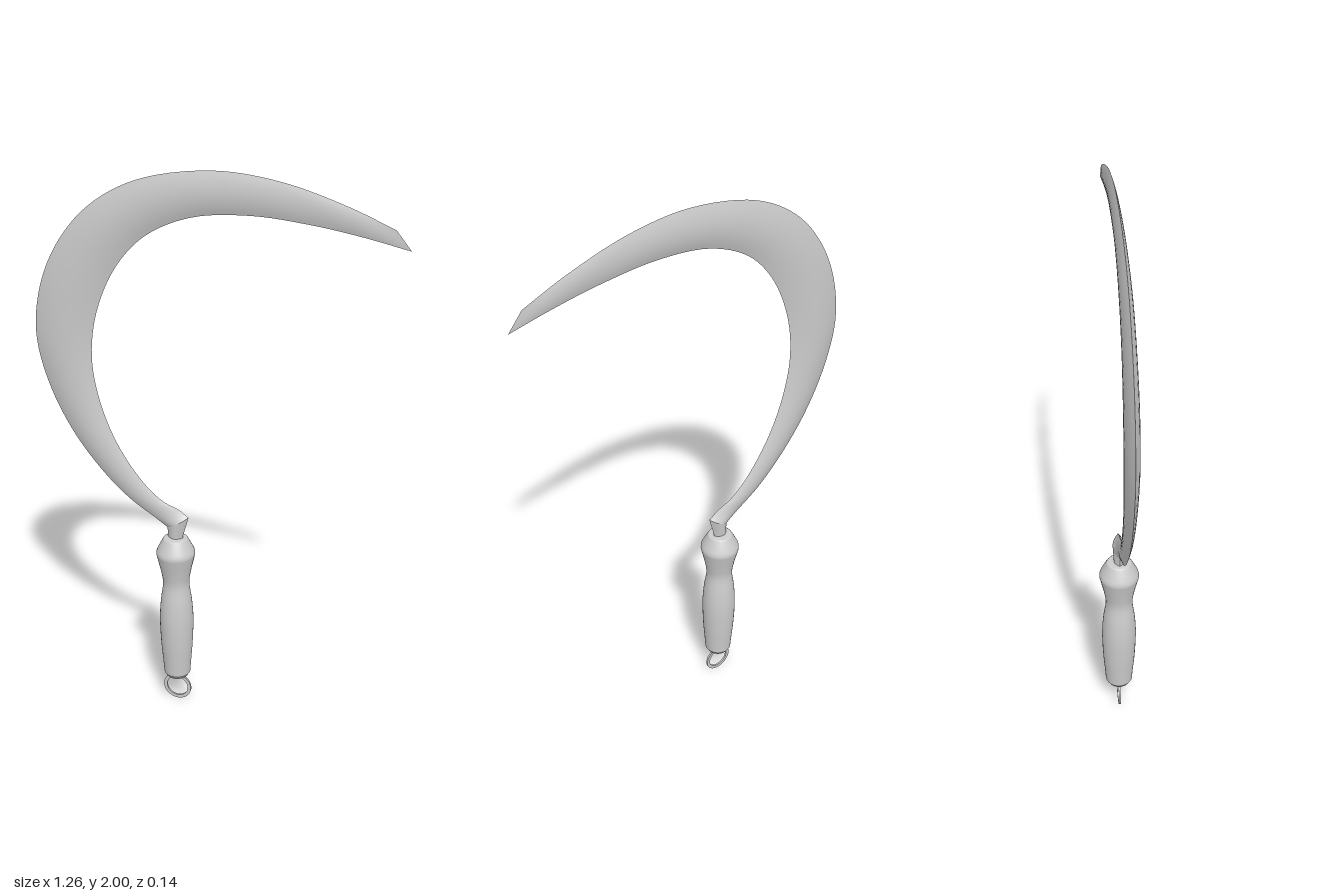
import * as THREE from 'three';

const material = new THREE.MeshStandardMaterial({ color: 0xcccccc });
const AXIS = -0.135; // x of the handle axis

// Lofts a lens-shaped body between two edge lines.
// Each row: outer x, outer y, inner x, inner y, half thickness.
function lensLoft(rows, steps, across = 10, straight = false) {
  const line = (pts) => {
    if (!straight) return new THREE.CatmullRomCurve3(pts, false, 'centripetal');
    const path = new THREE.CurvePath();
    for (let i = 1; i < pts.length; i++) path.add(new THREE.LineCurve3(pts[i - 1], pts[i]));
    return { getPoint: (t) => {
      const k = Math.min(Math.floor(t * path.curves.length), path.curves.length - 1);
      return path.curves[k].getPoint(t * path.curves.length - k);
    } };
  };
  const outer = line(rows.map((r) => new THREE.Vector3(r[0], r[1], r[4])));
  const inner = line(rows.map((r) => new THREE.Vector3(r[2], r[3], r[4])));
  const positions = [], index = [];
  // the two faces share no vertices, so the cutting edge and spine stay sharp
  for (const side of [1, -1]) {
    const base = positions.length / 3;
    for (let i = 0; i <= steps; i++) {
      const a = outer.getPoint(i / steps), b = inner.getPoint(i / steps);
      for (let j = 0; j <= across; j++) {
        const u = j / across, p = a.clone().lerp(b, u);
        positions.push(p.x, p.y, side * Math.max(a.z, 0) * (1 - (2 * u - 1) ** 2));
      }
    }
    for (let i = 0; i < steps; i++) {
      for (let j = 0; j < across; j++) {
        const a = base + i * (across + 1) + j, b = a + 1, c = a + across + 1, d = c + 1;
        if (side > 0) index.push(a, b, c, b, d, c);
        else index.push(a, c, b, b, c, d);
      }
    }
  }
  const geometry = new THREE.BufferGeometry();
  geometry.setAttribute('position', new THREE.Float32BufferAttribute(positions, 3));
  geometry.setIndex(index);
  geometry.computeVertexNormals();
  return geometry;
}

export function createModel() {
  const model = new THREE.Group();
  const add = (name, geometry, x = 0, y = 0, z = 0) => {
    const mesh = new THREE.Mesh(geometry, material);
    mesh.name = name;
    mesh.position.set(x, y, z);
    model.add(mesh);
    return mesh;
  };

  // Crescent blade, from the heel round to the tip
  add('blade', lensLoft([
    [-0.165, 0.735, -0.085, 0.785, 0.022],
    [-0.21, 0.765, -0.12, 0.81, 0.012],
    [-0.31, 0.83, -0.18, 0.835, 0.011],
    [-0.415, 0.93, -0.255, 0.90, 0.013],
    [-0.52, 1.07, -0.35, 1.04, 0.017],
    [-0.60, 1.24, -0.41, 1.20, 0.020],
    [-0.635, 1.41, -0.43, 1.35, 0.023],
    [-0.61, 1.58, -0.405, 1.51, 0.023],
    [-0.54, 1.73, -0.33, 1.67, 0.021],
    [-0.425, 1.86, -0.225, 1.78, 0.019],
    [-0.255, 1.955, -0.07, 1.85, 0.016],
    [0, 2.0, 0.125, 1.87, 0.013],
    [0.22, 1.98, 0.325, 1.855, 0.009],
    [0.43, 1.92, 0.485, 1.83, 0.006],
    [0.58, 1.86, 0.63, 1.80, 0],
  ], 84));

  // Tang between the handle and the heel of the blade
  add('tang', lensLoft([
    [-0.165, 0.68, -0.108, 0.68, 0.018],
    [-0.163, 0.705, -0.106, 0.71, 0.019],
    [-0.165, 0.735, -0.085, 0.785, 0.022],
  ], 4, 10, true));

  // Turned grip: smooth body between flat ends
  const body = new THREE.SplineCurve([
    [0.049, 0.127], [0.053, 0.18], [0.059, 0.26], [0.062, 0.36], [0.057, 0.44],
    [0.048, 0.51], [0.054, 0.56], [0.066, 0.615], [0.07, 0.64], [0.06, 0.665], [0.044, 0.695],
  ].map(([r, y]) => new THREE.Vector2(r, y))).getPoints(44);
  add('handle', new THREE.LatheGeometry(body, 32), AXIS);
  const end = (name, pts) => add(name,
    new THREE.LatheGeometry(pts.map(([r, y]) => new THREE.Vector2(r, y)), 32), AXIS);
  end('handleTop', [[0.044, 0.695], [0.038, 0.7], [0, 0.7]]);
  end('handleBottom', [[0, 0.112], [0.04, 0.112], [0.049, 0.127]]);

  // Flat hanging ring
  const ring = new THREE.Shape().absarc(0, 0, 0.054, 0, Math.PI * 2);
  ring.holes.push(new THREE.Path().absarc(0, 0, 0.041, 0, Math.PI * 2, true));
  add('hangingRing', new THREE.ExtrudeGeometry(ring, {
    depth: 0.007, bevelEnabled: false, curveSegments: 32,
  }), AXIS, 0.0545, -0.0035);

  // small pin joining the ring to the grip
  add('ringPin', new THREE.CylinderGeometry(0.005, 0.005, 0.02, 12), AXIS, 0.112);

  return model;
}
